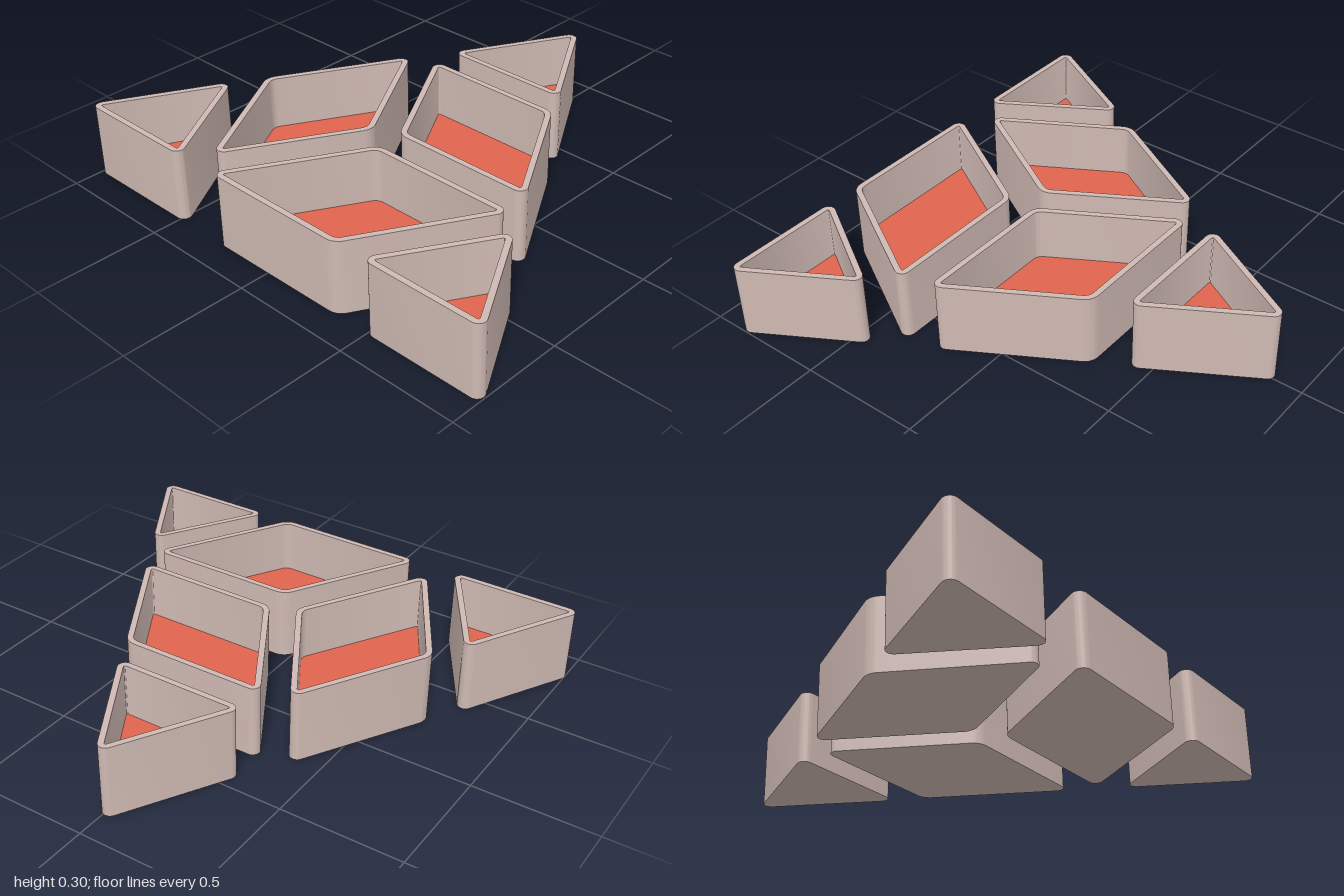
import * as THREE from 'three';
import { toCreasedNormals } from 'three/addons/utils/BufferGeometryUtils.js';

const HEIGHT = 0.3, FLOOR = 0.08, WALL = 0.024;
const ACUTE = 0.03, OBTUSE = 0.065; // outer corner radii

// Plan of each tray: unrounded corners as [x, z], counter-clockwise seen from above
const TRAYS = {
  backTriangleTray: [[-0.878, -1.022], [-0.878, -0.459], [-0.385, -0.755]],
  leftTriangleTray: [[0.41, -0.287], [0.41, 0.279], [0.906, -0.012]],
  frontTriangleTray: [[-0.878, 0.475], [-0.878, 1.017], [-0.42, 0.751]],
  backDiamondTray: [[-0.792, -0.38], [-0.266, -0.076], [0.26, -0.383], [-0.266, -0.682]],
  rightDiamondTray: [[-0.878, -0.287], [-0.878, 0.354], [-0.336, 0.667], [-0.336, 0.026]],
  leftDiamondTray: [[-0.225, 0.022], [-0.225, 0.636], [0.299, 0.333], [0.299, -0.281]],
};

// Rounded outline of a convex plan, moved inwards by inset
function outline(corners, inset) {
  const pts = corners.map(([x, z]) => new THREE.Vector2(x, -z));
  const n = pts.length, out = [];
  const normal = (a, b) => new THREE.Vector2(b.y - a.y, a.x - b.x).normalize();
  pts.forEach((p, i) => {
    const n1 = normal(pts[(i + n - 1) % n], p);
    const n2 = normal(p, pts[(i + 1) % n]);
    const dot = n1.dot(n2);
    const r = dot > 0 ? OBTUSE : ACUTE;
    const centre = p.clone().addScaledVector(n1.clone().add(n2), -r / (1 + dot));
    const start = n1.angle(), turn = Math.acos(dot), steps = 10;
    for (let k = 0; k <= steps; k++) {
      const a = start + (turn * k) / steps;
      out.push(new THREE.Vector2(Math.cos(a), Math.sin(a)).multiplyScalar(r - inset).add(centre));
    }
  });
  return out;
}

function extrudeUp(shape, depth) {
  const geo = new THREE.ExtrudeGeometry(shape, { depth, bevelEnabled: false });
  return toCreasedNormals(geo.rotateX(-Math.PI / 2), 0.6);
}

export function createModel() {
  const model = new THREE.Group();
  model.name = 'traySet';
  const shell = new THREE.MeshStandardMaterial({ color: 0xcfb9b3 });
  const red = new THREE.MeshStandardMaterial({ color: 0xe0644e });

  for (const [name, corners] of Object.entries(TRAYS)) {
    const tray = new THREE.Group();
    tray.name = name;
    const add = (part, geo, mat) => {
      const mesh = new THREE.Mesh(geo, mat);
      mesh.name = part;
      tray.add(mesh);
      return mesh;
    };
    const inner = outline(corners, WALL);

    // Wall ring, open at the top
    const ring = new THREE.Shape(outline(corners, 0));
    ring.holes.push(new THREE.Path(inner));
    add('wall', extrudeUp(ring, HEIGHT), shell);

    // Base slab with the red floor on it
    add('base', extrudeUp(new THREE.Shape(inner), FLOOR - 0.01), shell);
    const floor = new THREE.ShapeGeometry(new THREE.Shape(inner)).rotateX(-Math.PI / 2);
    add('floor', floor, red).position.y = FLOOR;

    model.add(tray);
  }
  return model;
}
